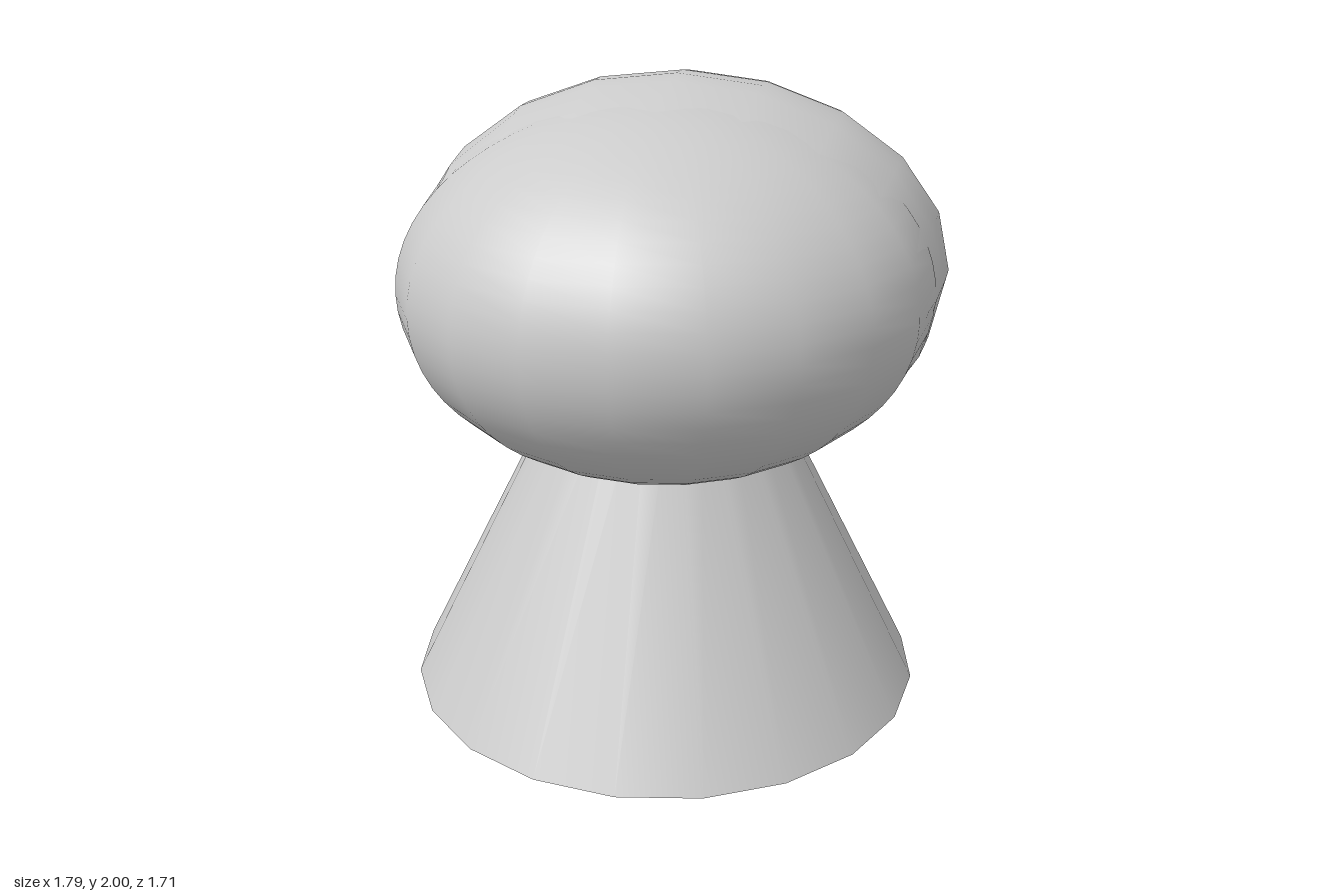
import * as THREE from 'three';

const SIDES = 20;
const CENTRE_Y = 1.36;

// Loft of elliptical rings along -z; each ring is [z, half width, half height]
function loftRings(rings, sides) {
  const positions = [], indices = [];
  rings.forEach(([z, rx, ry], r) => {
    for (let i = 0; i < sides; i++) {
      const t = (i / sides) * Math.PI * 2;
      // slightly uneven leading edge where the hood melts into the ball
      const wobble = r < 3 ? 0.004 * Math.sin(i * 2.4 + 1) : 0;
      positions.push((rx + wobble) * Math.cos(t), (ry + wobble) * Math.sin(t), z);
    }
  });
  for (let r = 0; r < rings.length - 1; r++) {
    for (let i = 0; i < sides; i++) {
      const a = r * sides + i, b = r * sides + (i + 1) % sides;
      indices.push(a, a + sides, b, b, a + sides, b + sides);
    }
  }
  const geometry = new THREE.BufferGeometry();
  geometry.setAttribute('position', new THREE.Float32BufferAttribute(positions, 3));
  geometry.setIndex(indices);
  geometry.computeVertexNormals();
  return geometry;
}

export function createModel() {
  const group = new THREE.Group();
  const material = new THREE.MeshStandardMaterial({ color: 0xcccccc });
  const add = (name, geometry, y, mat = material) => {
    const mesh = new THREE.Mesh(geometry, mat);
    mesh.name = name;
    mesh.position.y = y;
    group.add(mesh);
  };

  // Conical foot, its tip buried in the ball
  const baseHeight = 1.2, baseRadius = 0.855;
  add('base', new THREE.CylinderGeometry(baseRadius * (1 - baseHeight / 1.72), baseRadius, baseHeight, SIDES), baseHeight / 2);

  // Flattened ball
  const ball = new THREE.SphereGeometry(1, SIDES, 32);
  ball.scale(0.857, 0.594, 0.857);
  add('ball', ball, CENTRE_Y);

  // Hood wrapped round the back of the ball, with a rounded rim and recessed inner wall
  const hood = loftRings([
    [0.22, 0.80, 0.565],
    [0.14, 0.835, 0.589],
    [0.02, 0.857, 0.612],
    [-0.10, 0.873, 0.631],
    [-0.20, 0.884, 0.64],
    [-0.32, 0.893, 0.631],
    [-0.43, 0.86, 0.613],
    [-0.52, 0.824, 0.597],
    [-0.57, 0.815, 0.58],
    [-0.595, 0.79, 0.555],
    [-0.59, 0.75, 0.52],
    [-0.56, 0.715, 0.495],
    [-0.44, 0.69, 0.48],
  ], SIDES);
  add('hood', hood, CENTRE_Y, new THREE.MeshStandardMaterial({ color: 0xcccccc, side: THREE.DoubleSide }));

  return group;
}
